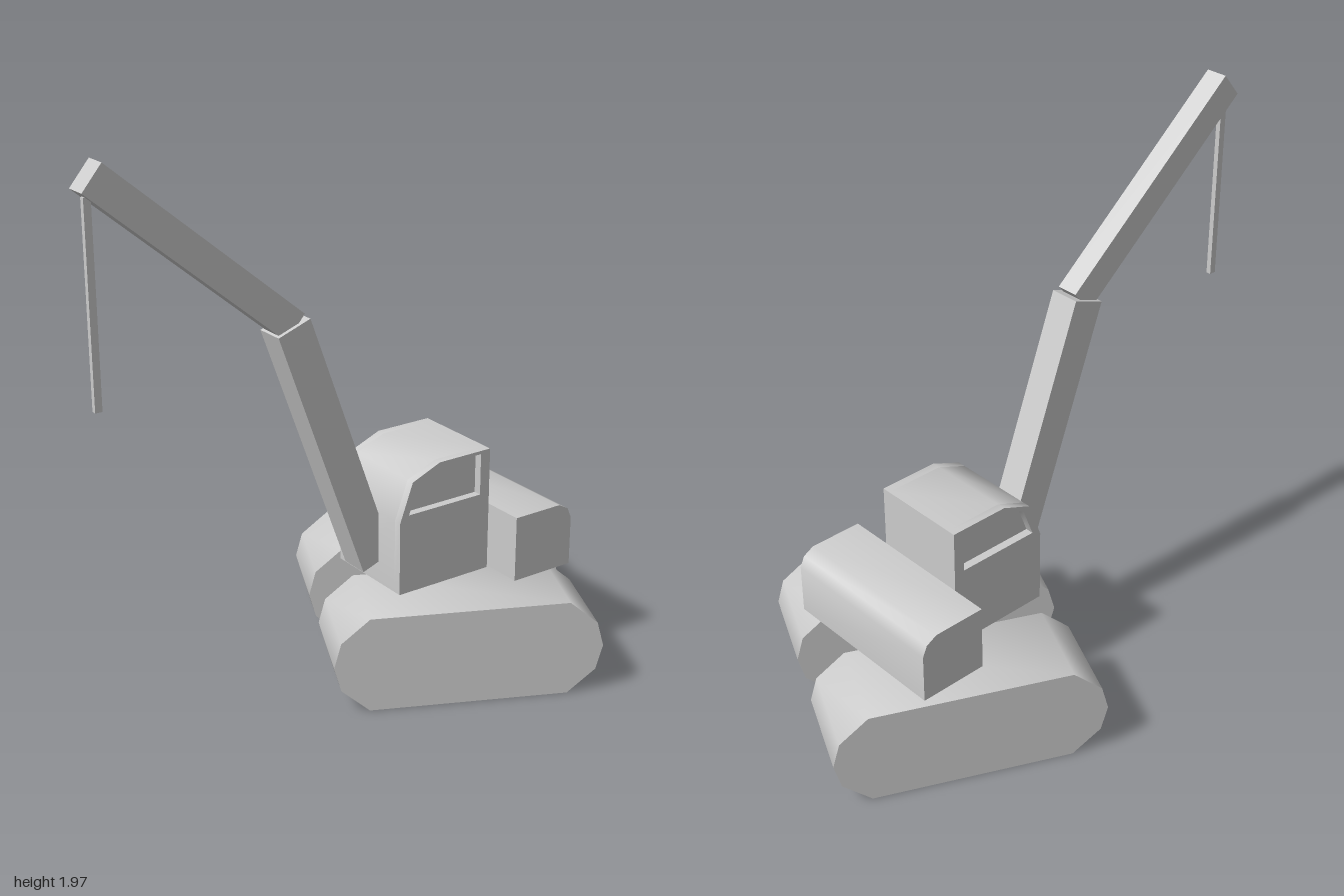
import * as THREE from 'three';
import { toCreasedNormals } from 'three/addons/utils/BufferGeometryUtils.js';

const material = new THREE.MeshStandardMaterial({ color: 0xcccccc });

function addMesh(parent, name, geometry) {
  const mesh = new THREE.Mesh(geometry, material);
  mesh.name = name;
  parent.add(mesh);
  return mesh;
}

// Side profile given as [z, y] points, extruded across x and centred on x = 0
function sideExtrude(points, width, hole) {
  const toVectors = (list) => list.map(([z, y]) => new THREE.Vector2(z, y));
  const shape = new THREE.Shape(toVectors(points));
  if (hole) shape.holes.push(new THREE.Path(toVectors(hole)));
  const geometry = new THREE.ExtrudeGeometry(shape, { depth: width, bevelEnabled: false });
  geometry.translate(0, 0, -width / 2).rotateY(-Math.PI / 2);
  return toCreasedNormals(geometry, 0.9);
}

// Rectangular beam between two [z, y] points on the centre plane
function addBeam(parent, name, from, to, width, thickness) {
  const dz = to[0] - from[0], dy = to[1] - from[1];
  const beam = addMesh(parent, name, new THREE.BoxGeometry(width, Math.hypot(dz, dy), thickness));
  beam.position.set(0, (from[1] + to[1]) / 2, (from[0] + to[0]) / 2);
  beam.rotation.x = Math.atan2(dz, dy);
}

export function createModel() {
  const model = new THREE.Group();
  model.name = 'crane';

  // Crawler tracks, turned relative to the upper body
  const undercarriage = new THREE.Group();
  undercarriage.name = 'undercarriage';
  undercarriage.position.set(0, 0.175, -0.379);
  undercarriage.rotation.y = -0.436;
  model.add(undercarriage);
  const half = 0.474;
  const end = [[half - 0.124, -0.175], [half - 0.024, -0.09], [half, 0], [half - 0.024, 0.09], [half - 0.124, 0.175]];
  const trackProfile = [...end, ...end.map(([z, y]) => [-z, -y])];
  for (const side of [-1, 1]) {
    const track = addMesh(undercarriage, side > 0 ? 'leftTrack' : 'rightTrack', sideExtrude(trackProfile, 0.342));
    track.position.x = side * 0.281;
  }

  // Cab: solid core with side panels that leave recessed windows
  const cab = new THREE.Group();
  cab.name = 'cab';
  model.add(cab);
  const cabProfile = [[-0.44, 0.355], [-0.053, 0.355], [-0.053, 0.625], [-0.105, 0.765], [-0.22, 0.812], [-0.44, 0.812]];
  const windowProfile = [[-0.4, 0.647], [-0.09, 0.647], [-0.132, 0.757], [-0.235, 0.8], [-0.4, 0.8]];
  addMesh(cab, 'cabCore', sideExtrude(cabProfile, 0.3));
  for (const side of [-1, 1]) {
    const panel = addMesh(cab, side > 0 ? 'leftWindowPanel' : 'rightWindowPanel', sideExtrude(cabProfile, 0.03, windowProfile));
    panel.position.x = side * 0.165;
  }

  // Counterweight with rounded upper rear edge
  addMesh(model, 'counterweight', sideExtrude(
    [[-0.702, 0.355], [-0.45, 0.355], [-0.45, 0.596], [-0.645, 0.596], [-0.685, 0.574], [-0.702, 0.535]], 0.646));

  // Two-part arm and hanging cable
  addBeam(model, 'boom', [-0.05, 0.433], [0.283, 1.353], 0.11, 0.13);
  addBeam(model, 'jib', [0.268, 1.349], [0.964, 1.933], 0.08, 0.108);
  const cable = addMesh(model, 'cable', new THREE.BoxGeometry(0.018, 0.67, 0.025));
  cable.position.set(0, 1.535, 0.967);

  return model;
}
